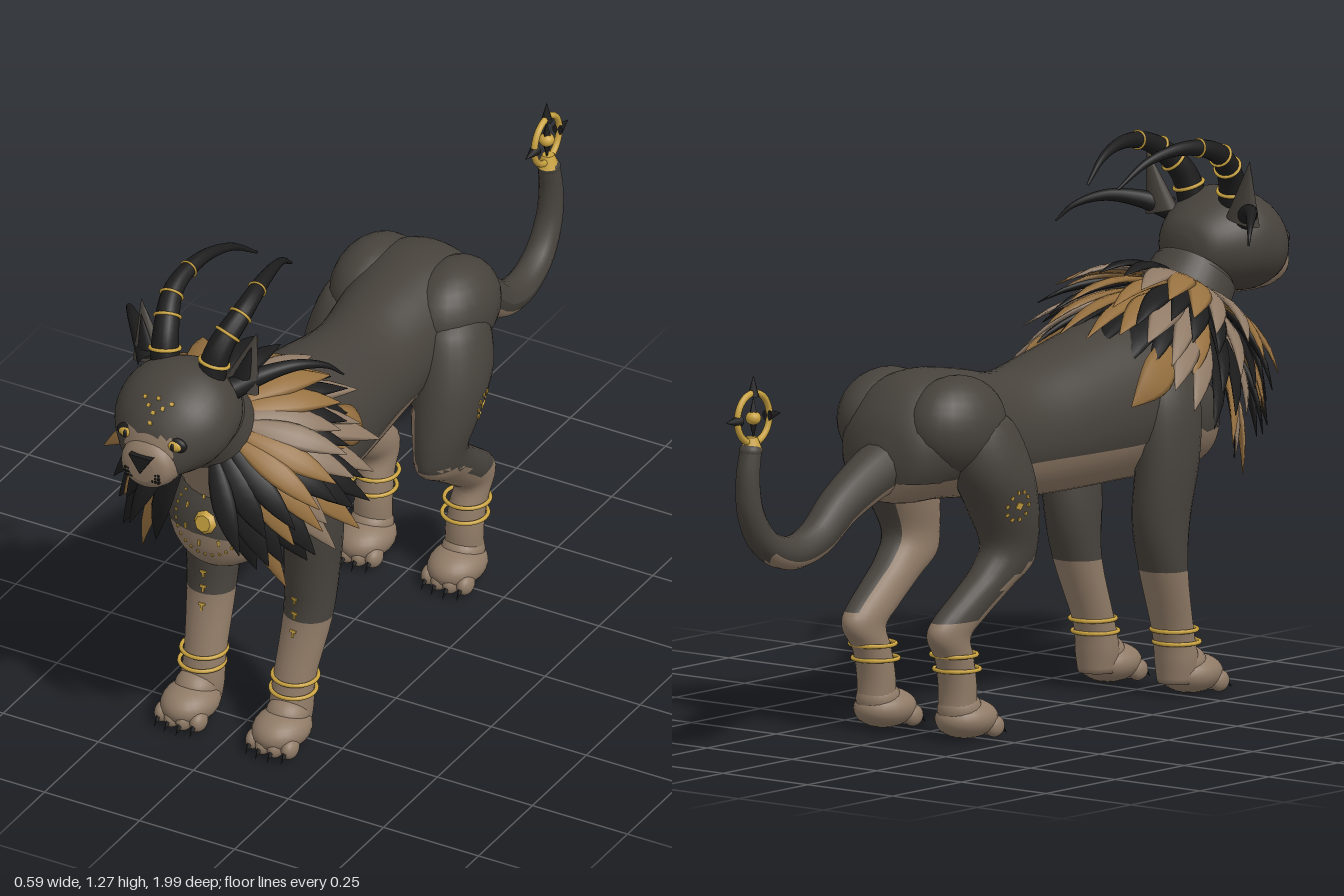
import * as THREE from 'three';

const V = (x, y, z) => new THREE.Vector3(x, y, z);
const mat = (name, color, side = THREE.FrontSide) => {
  const m = new THREE.MeshStandardMaterial({ color, side });
  m.name = name;
  return m;
};

// Smooth skin through elliptical sections [x, y, z, rx, r2]; rings lie in the xy plane, or flat in xz
function loft(sections, flat = false, seg = 24, sub = 4) {
  const mid = new THREE.CatmullRomCurve3(sections.map(s => V(s[0], s[1], s[2])), false, 'catmullrom');
  const rad = new THREE.CatmullRomCurve3(sections.map(s => V(s[3], s[4], 0)), false, 'catmullrom');
  const n = (sections.length - 1) * sub, pos = [], idx = [];
  for (let i = 0; i <= n; i++) {
    const c = mid.getPoint(i / n), r = rad.getPoint(i / n);
    for (let j = 0; j < seg; j++) {
      const a = j / seg * Math.PI * 2, p = r.x * Math.cos(a), q = r.y * Math.sin(a);
      pos.push(c.x + p, c.y + (flat ? 0 : q), c.z + (flat ? q : 0));
    }
  }
  for (let i = 0; i < n; i++) for (let j = 0; j < seg; j++) {
    const a = i * seg + j, b = i * seg + (j + 1) % seg;
    idx.push(a, b, a + seg, b, b + seg, a + seg);
  }
  const last = sections.length - 1, c0 = pos.length / 3;
  pos.push(...sections[0].slice(0, 3), ...sections[last].slice(0, 3));
  for (let j = 0; j < seg; j++) {
    const k = (j + 1) % seg;
    idx.push(c0, k, j, c0 + 1, n * seg + j, n * seg + k);
  }
  // Turn the faces outward whichever way the sections run
  let vol = 0;
  const at = i => V(pos[i * 3], pos[i * 3 + 1], pos[i * 3 + 2]);
  for (let t = 0; t < idx.length; t += 3) vol += at(idx[t]).dot(at(idx[t + 1]).cross(at(idx[t + 2])));
  if (vol < 0) idx.reverse();
  const g = new THREE.BufferGeometry();
  g.setAttribute('position', new THREE.Float32BufferAttribute(pos, 3));
  g.setIndex(idx);
  g.computeVertexNormals();
  return g;
}

// Two colour groups: faces where test(centre, normal) holds take the second material
function paint(g, test) {
  const p = g.attributes.position, idx = g.index.array, lists = [[], []], tri = new THREE.Triangle();
  for (let t = 0; t < idx.length; t += 3) {
    tri.setFromAttributeAndIndices(p, idx[t], idx[t + 1], idx[t + 2]);
    lists[test(tri.getMidpoint(V()), tri.getNormal(V())) ? 1 : 0].push(idx[t], idx[t + 1], idx[t + 2]);
  }
  g.setIndex([...lists[0], ...lists[1]]);
  g.clearGroups();
  g.addGroup(0, lists[0].length, 0);
  g.addGroup(lists[0].length, lists[1].length, 1);
  return g;
}

// Tube whose radius runs from r0 to r1
function taper(points, r0, r1, power = 1, seg = 40) {
  const curve = new THREE.CatmullRomCurve3(points.map(p => V(...p)));
  const g = new THREE.TubeGeometry(curve, seg, 1, 14), p = g.attributes.position;
  for (let i = 0; i < p.count; i++) {
    const t = Math.floor(i / 15) / seg, c = curve.getPointAt(t), r = r0 + (r1 - r0) * t ** power;
    const v = V().fromBufferAttribute(p, i).sub(c).multiplyScalar(r).add(c);
    p.setXYZ(i, v.x, v.y, v.z);
  }
  g.computeVertexNormals();
  return { g, curve, radius: t => r0 + (r1 - r0) * t ** power };
}

export function createModel() {
  const root = new THREE.Group();
  root.name = 'hornedCat';
  const dark = mat('darkFur', 0x47423c), tan = mat('tanFur', 0x8f7a66), black = mat('black', 0x1d1c1c);
  const brown = mat('brownFeather', 0x96703f), gold = mat('gold', 0xc9a240);
  const fur = [dark, tan];
  const add = (name, g, m, p = [0, 0, 0], s = [1, 1, 1], r = [0, 0, 0]) => {
    const o = new THREE.Mesh(g, m);
    o.name = name;
    o.position.set(...p); o.scale.set(...s); o.rotation.set(...r);
    root.add(o);
    return o;
  };
  const aim = (o, dir, from = V(0, 1, 0)) => o.quaternion.setFromUnitVectors(from, dir.clone().normalize());
  const ball = new THREE.SphereGeometry(1, 24, 16), bit = new THREE.BoxGeometry(1, 1, 1);

  // Thin gold mark laid on a surface
  const ray = new THREE.Raycaster();
  const mark = (target, from, dir, w, h) => {
    target.updateMatrixWorld();
    ray.set(V(...from), V(...dir));
    const hit = ray.intersectObject(target)[0];
    if (hit) aim(add('goldMark', bit, gold, hit.point.toArray(), [w, h, 0.006]), hit.face.normal, V(0, 0, 1));
  };

  // Body with pale belly
  const bodyG = loft([
    [0, .6, .70, .03, .03], [0, .605, .68, .09, .085], [0, .63, .63, .135, .13], [0, .66, .54, .165, .165],
    [0, .69, .42, .17, .19], [0, .67, .2, .157, .17], [0, .656, 0, .135, .148], [0, .68, -.15, .14, .15],
    [0, .695, -.28, .16, .152], [0, .685, -.37, .15, .14], [0, .66, -.43, .11, .1], [0, .65, -.455, .04, .04],
  ], false, 48);
  const bp = bodyG.attributes.position;
  for (let i = 0; i < bp.count; i++) if (Math.abs(bp.getY(i) - .605) < .011) bp.setY(i, .605);
  const body = add('body', paint(bodyG, c => c.y < .605), fur);

  // Neck, throat and collar along a forward-leaning axis
  const axis = V(0, .78, .62).normalize(), across = V(0, axis.z, -axis.y);
  const neckTurn = new THREE.Quaternion().setFromUnitVectors(V(0, 1, 0), axis);
  const neckG = new THREE.CylinderGeometry(.095, .15, .34, 32, 6).applyQuaternion(neckTurn).translate(0, .815, .605);
  add('neck', paint(neckG, (c, n) => n.z > .62 && n.y < 0 && c.y > .7), fur);
  aim(add('collar', new THREE.CylinderGeometry(.102, .108, .06, 32), dark, [0, .915, .69]), axis);

  // Head and muzzle
  const head = add('head', paint(loft([
    [0, 1, .66, .03, .03], [0, 1, .68, .08, .07], [0, 1.005, .74, .125, .105], [0, 1.01, .8, .143, .122],
    [0, 1, .86, .14, .118], [0, .99, .91, .115, .1], [0, .97, .95, .075, .075], [0, .96, .97, .04, .04],
  ], false, 40), c => c.z > .91 && Math.abs(c.x) < .062 && c.y < 1.02), fur);
  add('muzzle', loft([
    [0, .945, .84, .075, .067], [0, .945, .92, .072, .069], [0, .945, .96, .068, .063],
    [0, .942, .982, .056, .049], [0, .94, .992, .03, .028],
  ]), tan);
  const noseShape = new THREE.Shape([new THREE.Vector2(-.03, .98), new THREE.Vector2(0, .935), new THREE.Vector2(.03, .98)]);
  add('nose', new THREE.ExtrudeGeometry(noseShape, { depth: .04, bevelEnabled: false }), black, [0, 0, .96]);

  const earG = new THREE.ConeGeometry(.046, .15, 16);
  const hornRing = new THREE.TorusGeometry(1, .13, 8, 24);
  const clawG = new THREE.ConeGeometry(.008, .04, 8);
  for (const s of [1, -1]) {
    // Eyes, whisker spots and ears
    add('eyeRim', ball, black, [s * .062, 1.002, .942], [.029, .02, .013]);
    add('eye', ball, gold, [s * .062, 1.002, .947], [.021, .014, .013]);
    add('pupil', ball, black, [s * .062, 1.002, .956], [.006, .01, .006]);
    for (let i = 0; i < 4; i++) for (let j = 0; j < 3; j++)
      add('whiskerSpot', bit, black, [s * (.019 + i * .008), .918 + j * .009, .98], [.005, .005, .022]);
    add('ear', earG, dark, [s * .136, 1.14, .73], [1, 1, .5], [-.1, 0, -s * .22]);
    add('innerEar', earG, black, [s * .134, 1.13, .742], [.6, .7, .35], [-.1, 0, -s * .22]);

    // Swept main horns with gold rings, and smaller side horns
    const horn = taper([[s * .058, 1.08, .78], [s * .07, 1.16, .755], [s * .092, 1.23, .68], [s * .085, 1.255, .57],
      [s * .065, 1.235, .46], [s * .045, 1.18, .375]], .036, .003);
    add('mainHorn', horn.g, black);
    for (const t of [.1, .24, .34, .5]) {
      const r = horn.radius(t) * 1.06;
      aim(add('hornRing', hornRing, gold, horn.curve.getPointAt(t).toArray(), [r, r, r]), horn.curve.getTangentAt(t), V(0, 0, 1));
    }
    add('sideHorn', taper([[s * .11, 1.07, .76], [s * .16, 1.095, .71], [s * .215, 1.105, .65], [s * .26, 1.085, .59],
      [s * .285, 1.05, .555]], .027, .002).g, black);

    // Front leg
    const front = add('frontLeg', paint(loft([
      [s * .12, .8, .45, .02, .03], [s * .12, .77, .45, .05, .065], [s * .135, .68, .447, .065, .09],
      [s * .14, .55, .438, .064, .087], [s * .13, .42, .428, .063, .074], [s * .127, .3, .44, .059, .054],
      [s * .117, .15, .487, .05, .047], [s * .117, .08, .5, .052, .05], [s * .117, .03, .5, .045, .045],
    ], true), c => c.y < .3), fur);

    // Hind leg with haunch and hock
    const hind = add('hindLeg', paint(loft([
      [s * .13, .755, -.23, .02, .03], [s * .13, .725, -.23, .07, .09], [s * .145, .62, -.205, .085, .108],
      [s * .147, .52, -.165, .077, .092], [s * .145, .44, -.142, .06, .078], [s * .14, .385, -.165, .054, .092],
      [s * .135, .34, -.225, .048, .088], [s * .128, .28, -.305, .044, .083], [s * .125, .24, -.335, .041, .063],
      [s * .122, .19, -.312, .042, .05], [s * .12, .12, -.297, .045, .045], [s * .12, .04, -.3, .045, .045],
    ], true), (c, n) => c.y < .28 || (n.y < -.3 && c.y < .46) || (n.x * s < -.5 && c.y < .55)), fur);
    add('hip', ball, dark, [s * .1, .725, -.28], [.1, .115, .14]);

    // Paws, toes, claws and anklets
    for (const [z, y1, y2, zb] of [[.55, .155, .125, .488], [-.265, .2, .165, -.31]]) {
      const x = s * .12;
      add('paw', ball, tan, [x, .046, z], [.066, .046, .083]);
      add('instep', ball, tan, [x, .07, z - .025], [.05, .045, .055]);
      for (let i = 0; i < 4; i++) {
        const o = (i - 1.5) * .031, zz = z + .06 - Math.abs(i - 1.5) * .01;
        add('toe', ball, tan, [x + o, .026, zz], [.019, .025, .028]);
        add('claw', clawG, black, [x + o, .018, zz + .03], [1, 1, 1], [2.3, 0, 0]);
      }
      for (const y of [y1, y2])
        add('anklet', new THREE.TorusGeometry(.053, .005, 8, 32), gold, [x, y, zb + (y1 - y) * .3], [1, 1, 1], [Math.PI / 2, 0, 0]);
    }

    // Gold marks on legs
    for (const y of [.36, .32, .275]) {
      mark(front, [s * .12, y, 1], [0, 0, -1], .016, .006);
      mark(front, [s * .12, y - .006, 1], [0, 0, -1], .005, .018);
    }
    for (let i = 0; i < 10; i++) {
      const a = i / 10 * Math.PI * 2;
      mark(hind, [s, .54 + .034 * Math.sin(a), -.2 + .028 * Math.cos(a)], [-s, 0, 0], .007, .009);
    }
    mark(hind, [s, .54, -.2], [-s, 0, 0], .016, .016);
  }

  // Forehead and chest ornaments
  for (const [x, y] of [[0, 1.065], [0, 1.09], [.018, 1.075], [-.018, 1.075], [.035, 1.085], [-.035, 1.085], [0, 1.045]])
    mark(head, [x, y, 2], [0, 0, -1], .009, .009);
  add('chestGem', new THREE.CylinderGeometry(.02, .034, .02, 8), gold, [0, .64, .698], [1, 1, 1], [Math.PI / 2 - .2, 0, 0]);
  for (let i = 0; i < 28; i++) {
    const a = i / 28 * Math.PI * 2;
    mark(body, [.085 * Math.cos(a), .64 + .085 * Math.sin(a), 2], [0, 0, -1], .006, .006);
    if (i % 4 === 0) mark(body, [.058 * Math.cos(a), .64 + .058 * Math.sin(a), 2], [0, 0, -1], .006, .014);
  }

  // Mane of layered blade feathers
  const featherG = loft([
    [0, 0, 0, .012, .005], [0, .012, .25, .024, .008], [0, .016, .5, .028, .008],
    [0, .008, .75, .019, .006], [0, -.012, 1, .001, .001],
  ], false, 8, 2);
  const feather = (base, dir, up, len, width, m) => {
    const z = dir.clone().normalize(), x = V().crossVectors(up, z).normalize(), y = V().crossVectors(z, x);
    const o = add('maneFeather', featherG, m, base.toArray(), [width, 1, len]);
    o.quaternion.setFromRotationMatrix(new THREE.Matrix4().makeBasis(x, y, z));
  };
  let seed = 7;
  const rnd = () => (seed = (seed * 16807) % 2147483647) / 2147483647;
  const tones = [black, tan, black, brown];
  for (let k = 0; k < 4; k++) for (let i = 0; i < 11; i++) {
    const th = (8 + i * 14.2 + (k % 2) * 5) * Math.PI / 180, len = .2 + .025 * k + rnd() * .05;
    const flare = (52 - k * 7 + rnd() * 10) * Math.PI / 180, m = tones[(i + k * 3 + Math.floor(rnd() * 2)) % 4];
    const w = .85 + rnd() * .5;
    if (th > 2.62) continue;
    for (const s of [1, -1]) {
      const out = V(s * Math.sin(th), 0, 0).addScaledVector(across, Math.cos(th));
      const base = V(0, .9, .675).addScaledVector(axis, -.028 * k).addScaledVector(out, .088 + .008 * k);
      const dir = out.clone().multiplyScalar(Math.sin(flare)).addScaledVector(axis, -Math.cos(flare));
      const up = out.clone().multiplyScalar(Math.cos(flare)).addScaledVector(axis, Math.sin(flare));
      feather(base, dir, up, len, w, m);
    }
  }
  for (const s of [1, -1]) feather(V(s * .155, .82, .43), V(s * .03, -.11, -.16), V(s, .4, 0), .2, 1.7, brown);

  // Tail with pale underside
  const tail = taper([[0, .65, -.38], [0, .62, -.47], [0, .565, -.58], [0, .5, -.67], [0, .48, -.76],
    [0, .515, -.85], [0, .59, -.9], [0, .67, -.91], [0, .735, -.9]], .075, .026, .55, 48);
  add('tail', paint(tail.g, (c, n) => n.y < -.5 && c.z > -.85), fur);
  add('tailEnd', ball, dark, [0, .735, -.9], [.027, .02, .027]);

  // Tail ornament: gold ring with black spikes
  const hub = V(0, .81, -.89);
  add('tailRing', new THREE.TorusGeometry(.058, .008, 10, 36), gold, hub.toArray(), [1, 1, 1], [0, Math.PI / 2, 0]);
  add('tailGem', new THREE.OctahedronGeometry(1), black, hub.toArray(), [.014, .05, .014]);
  add('tailBead', ball, gold, hub.toArray(), [.018, .016, .018]);
  add('tailSocket', new THREE.CylinderGeometry(.014, .026, .03, 16), gold, [0, .752, -.897]);
  for (const d of [V(0, 1, 0), V(0, 0, 1), V(0, 0, -1)])
    aim(add('tailSpike', new THREE.ConeGeometry(.014, .05, 10), black, hub.clone().addScaledVector(d, .075).toArray()), d);
  return root;
}
